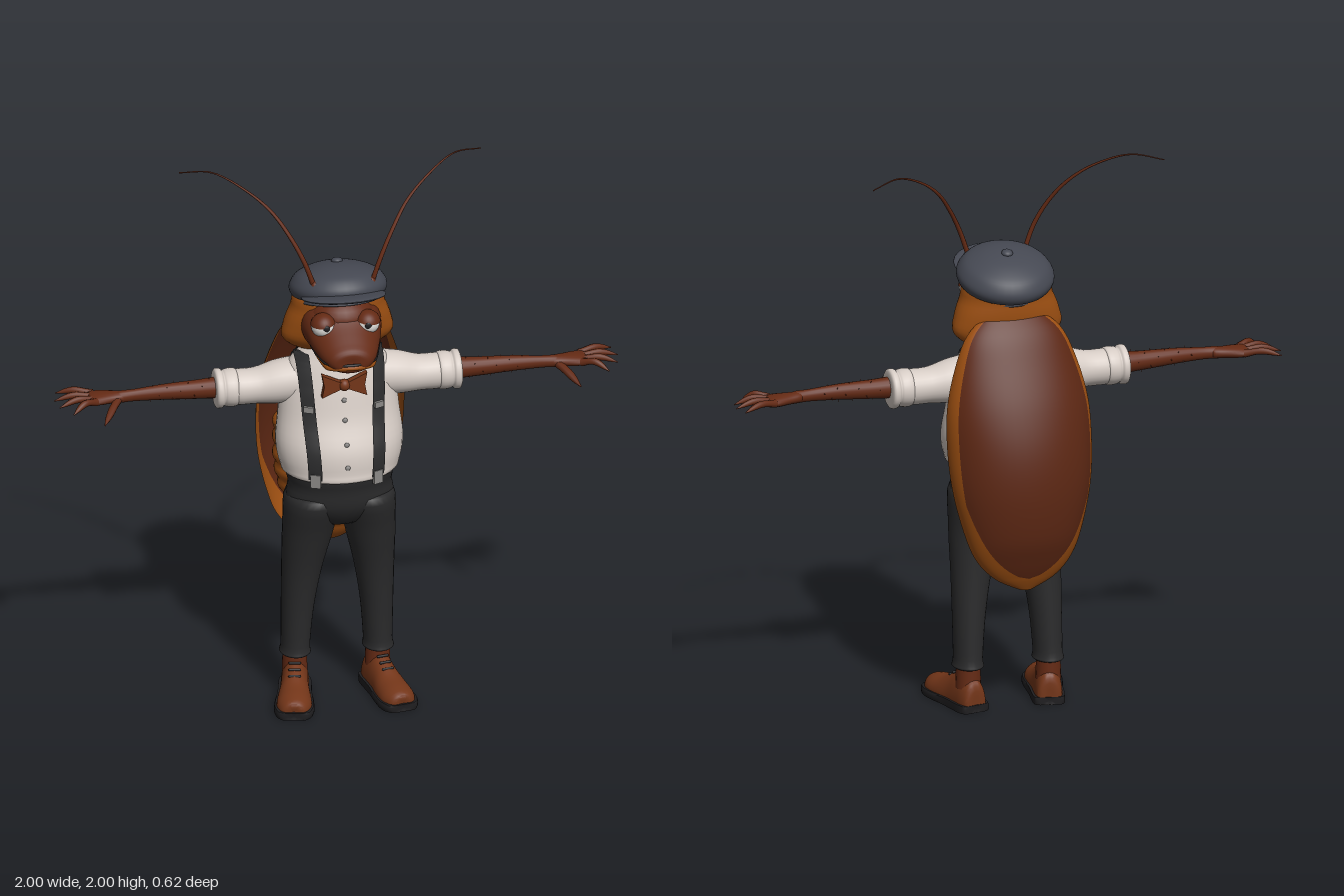
import * as THREE from 'three';
import { mergeVertices, toCreasedNormals } from 'three/addons/utils/BufferGeometryUtils.js';
import { ParametricGeometry } from 'three/addons/geometries/ParametricGeometry.js';

const mat = (name, color, side = THREE.FrontSide) => {
  const m = new THREE.MeshStandardMaterial({ color, side });
  m.name = name;
  return m;
};
const skin = mat('brown skin', 0x642a14);
const wingBrown = mat('wing brown', 0x5c2713, THREE.DoubleSide);
const orange = mat('amber shell', 0x9e5012, THREE.DoubleSide);
const cotton = mat('white cotton', 0xd6ccc5, THREE.DoubleSide);
const cloth = mat('charcoal cloth', 0x2b2b2c, THREE.DoubleSide);
const felt = mat('grey felt', 0x454852);
const leather = mat('shoe leather', 0x743619);
const black = mat('black rubber', 0x1f1e20);
const eyeWhite = mat('eye white', 0xdedcd8);
const metal = mat('buckle metal', 0x8c8a88);

function add(parent, name, geometry, material, pos = [0, 0, 0], scale = [1, 1, 1], rot = [0, 0, 0]) {
  const m = new THREE.Mesh(geometry, material);
  m.name = name;
  m.position.set(...pos);
  m.scale.set(...scale);
  m.rotation.set(...rot);
  parent.add(m);
  return m;
}

// Smooth interpolation through rows of numbers, t from 0 to 1
function sample(rows, t) {
  const n = rows.length - 1, f = Math.min(Math.max(t, 0), 1) * n;
  const i = Math.min(Math.floor(f), n - 1), k = f - i;
  const a = rows[Math.max(i - 1, 0)], b = rows[i], c = rows[i + 1], d = rows[Math.min(i + 2, n)];
  return b.map((q, j) => 0.5 * (2 * q + (c[j] - a[j]) * k + (2 * a[j] - 5 * q + 4 * c[j] - d[j]) * k * k
    + (3 * q - a[j] - 3 * c[j] + d[j]) * k * k * k));
}

function surface(fn, nu, nv) {
  let g = new ParametricGeometry(fn, nu, nv);
  g.deleteAttribute('uv');
  g.deleteAttribute('normal');
  g = mergeVertices(g, 1e-5);
  g.computeVertexNormals();
  return g;
}

// Closed loft; each row is [position along axis, centre a, centre b, radius a, radius b]
function loft(axis, rows, seg = 28, ripple = 0) {
  const f = rows[0], l = rows[rows.length - 1];
  const all = [[f[0], f[1], f[2], 0, 0], ...rows, [l[0], l[1], l[2], 0, 0]];
  return surface((u, v, p) => {
    const [h, ca, cb, ra, rb] = sample(all, v), a = u * Math.PI * 2;
    const k = 1 + ripple * Math.abs(Math.sin(h * 48));
    const A = Math.max(ra, 0) * Math.cos(a) * k, B = Math.max(rb, 0) * Math.sin(a) * k;
    if (axis === 'y') p.set(ca + A, h, cb - B);
    else if (axis === 'x') p.set(h, ca + A, cb + B);
    else p.set(ca + A, cb + B, h);
  }, seg, (all.length - 1) * (ripple ? 10 : 4));
}

// Tapered tube along a smooth path
function limb(points, radii, steps = 16, seg = 8) {
  const curve = new THREE.CatmullRomCurve3(points.map(p => new THREE.Vector3(...p)));
  const g = new THREE.TubeGeometry(curve, steps, 1, seg);
  const pos = g.attributes.position, v = new THREE.Vector3();
  for (let i = 0; i < pos.count; i++) {
    const t = Math.floor(i / (seg + 1)) / steps, c = curve.getPointAt(t);
    v.fromBufferAttribute(pos, i).sub(c).multiplyScalar(sample(radii.map(r => [r]), t)[0]).add(c);
    pos.setXYZ(i, v.x, v.y, v.z);
  }
  return g;
}

const ball = new THREE.SphereGeometry(1, 24, 16);

const shirtRows = [[0.885, 0, 0.06, 0.18, 0.145], [0.92, 0, 0.06, 0.212, 0.155], [1.0, 0, 0.05, 0.225, 0.157],
  [1.1, 0, 0.035, 0.215, 0.13], [1.2, 0, 0.025, 0.205, 0.115], [1.27, 0, 0.02, 0.185, 0.1],
  [1.32, 0, 0.02, 0.145, 0.085], [1.36, 0, 0.025, 0.085, 0.07]];
const headRows = [[-0.07, 0, 1.46, 0.09, 0.08], [0, 0, 1.46, 0.13, 0.115], [0.08, 0, 1.455, 0.142, 0.12],
  [0.15, 0, 1.44, 0.13, 0.1], [0.2, 0, 1.418, 0.115, 0.08], [0.26, 0, 1.4, 0.092, 0.057],
  [0.295, 0, 1.395, 0.06, 0.036]];
const wingRows = [[0.485, 0.02, -0.205, -0.21], [0.53, 0.11, -0.195, -0.235], [0.6, 0.175, -0.18, -0.265],
  [0.7, 0.215, -0.165, -0.297], [0.85, 0.25, -0.145, -0.31], [1.0, 0.262, -0.12, -0.295],
  [1.15, 0.255, -0.1, -0.25], [1.3, 0.215, -0.08, -0.18], [1.4, 0.165, -0.065, -0.125], [1.475, 0.07, -0.05, -0.06]];

// Depth of the shirt surface at x, y; dir is 1 for front and -1 for back
function shirtZ(x, y, dir, lift = 0.008) {
  let v = 0;
  while (v < 1 && sample(shirtRows, v)[0] < y) v += 0.004;
  const r = sample(shirtRows, v);
  return r[2] + dir * (r[4] + lift) * Math.sqrt(Math.max(0, 1 - (x / (r[3] + lift)) ** 2));
}

function buildTorso(g) {
  add(g, 'shirt', loft('y', shirtRows, 40), cotton);
  add(g, 'trouserSeat', loft('y', [[0.69, 0, 0.045, 0.1, 0.08], [0.76, 0, 0.055, 0.185, 0.125],
    [0.84, 0, 0.06, 0.183, 0.135], [0.91, 0, 0.065, 0.178, 0.135]], 36), cloth);
  add(g, 'abdomen', loft('y', [[0.52, 0, -0.15, 0.05, 0.03], [0.58, 0, -0.14, 0.11, 0.065], [0.7, 0, -0.11, 0.16, 0.098],
    [0.8, 0, -0.09, 0.19, 0.125], [0.92, 0, -0.08, 0.2, 0.125], [1.05, 0, -0.08, 0.18, 0.09]], 32, 0.06), orange);
  add(g, 'neck', loft('y', [[1.3, 0, 0.03, 0.07, 0.06], [1.44, 0, 0.04, 0.075, 0.065]]), skin);
  add(g, 'collar', surface((u, v, p) => {
    const a = 0.25 + u * (Math.PI * 2 - 0.5), r = 0.105 - 0.022 * v;
    p.set(Math.sin(a) * r, 1.315 + 0.065 * v, 0.03 + Math.cos(a) * r * 0.9);
  }, 32, 3), cotton);
  for (const y of [0.95, 1.03, 1.11, 1.18])
    add(g, 'shirtButton', ball, metal, [0, y, shirtZ(0, y, 1, 0.002)], [0.009, 0.009, 0.005]);

  // Bow tie
  const bow = new THREE.Shape([[-0.08, 0.045], [-0.015, 0.014], [0.015, 0.014], [0.08, 0.045], [0.072, 0],
    [0.08, -0.042], [0.015, -0.014], [-0.015, -0.014], [-0.08, -0.042], [-0.072, 0]].map(p => new THREE.Vector2(...p)));
  add(g, 'bowTie', new THREE.ExtrudeGeometry(bow, { depth: 0.025, bevelEnabled: false }), leather, [0, 1.24, 0.132]);
  add(g, 'bowKnot', ball, leather, [0, 1.24, 0.148], [0.02, 0.022, 0.02]);
}

function buildWings(g) {
  const edge = v => 1.15 * Math.sqrt(Math.min(Math.max((v - 0.12) / 0.3, 0), 1));
  const shell = (from, to) => surface((u, v, p) => {
    const [y, w, zf, zb] = sample(wingRows, v), a = from(v) + (to(v) - from(v)) * u;
    p.set(-w * Math.sin(a), y, zf + (zb - zf) * Math.cos(a));
  }, 20, 50);
  add(g, 'wingCentre', shell(v => -edge(v), edge), wingBrown);
  add(g, 'wingBorderRight', shell(edge, () => Math.PI / 2), orange);
  add(g, 'wingBorderLeft', shell(() => -Math.PI / 2, v => -edge(v)), orange);
}

function buildHead(g) {
  add(g, 'head', loft('z', headRows, 32), skin);
  add(g, 'forehead', ball, skin, [0, 1.49, 0.1], [0.115, 0.08, 0.095]);
  add(g, 'neckShield', loft('y', [[1.335, 0, 0, 0.13, 0.06], [1.38, 0, 0.01, 0.195, 0.09], [1.44, 0, 0.015, 0.19, 0.108],
    [1.5, 0, 0.02, 0.168, 0.115], [1.56, 0, 0.02, 0.14, 0.11]], 36), orange);
  // Mouth lines following the muzzle
  const along = phi => {
    const pts = [];
    for (let i = -6; i <= 6; i++) {
      const r = sample(headRows, 1 - Math.abs(i) * 0.075), s = Math.cos(phi) * Math.min(Math.abs(i) / 1.5, 1);
      pts.push([Math.sign(i) * r[3] * s, r[2] + r[4] * Math.sin(phi), r[0] + (Math.abs(i) < 2 ? 0.004 : 0)]);
    }
    return pts;
  };
  add(g, 'lowerLip', limb(along(-0.55), [0.004, 0.011, 0.009, 0.011, 0.004], 40), orange);
  add(g, 'mouthLine', limb(along(-0.25), [0.003, 0.005, 0.005, 0.003], 40), black);

  // Flat cap, tilted back
  const cap = new THREE.Group();
  cap.name = 'cap';
  cap.position.set(0, 1.565, 0.03);
  cap.rotation.x = -0.25;
  g.add(cap);
  const profile = [[0, -0.04], [0.13, -0.045], [0.14, -0.03], [0.162, -0.02], [0.172, 0.005], [0.165, 0.03],
    [0.14, 0.058], [0.09, 0.08], [0.04, 0.09], [0, 0.092]];
  const outline = new THREE.SplineCurve(profile.map(p => new THREE.Vector2(...p))).getPoints(36);
  outline.forEach(p => { p.x = Math.max(p.x, 0); });
  add(cap, 'capCrown', new THREE.LatheGeometry(outline, 40), felt);
  add(cap, 'capBrim', ball, felt, [0, -0.012, 0.105], [0.15, 0.016, 0.13]);
  add(cap, 'capButton', ball, felt, [0, 0.093, 0], [0.02, 0.012, 0.02]);
}

// Everything that exists once per side, modelled on the +x side
function buildSide(g) {
  // Eye
  add(g, 'eye', ball, eyeWhite, [0.078, 1.485, 0.168], [0.043, 0.04, 0.045]);
  add(g, 'pupil', ball, black, [0.074, 1.492, 0.21], [0.012, 0.012, 0.005]);
  add(g, 'eyelid', new THREE.SphereGeometry(0.047, 24, 10, 0, Math.PI * 2, 0, 1.25), skin,
    [0.078, 1.485, 0.168], [1, 1, 1], [0.1, 0, -0.12]);

  // Antenna
  add(g, 'antenna', limb([[0.1, 1.61, 0.125], [0.135, 1.71, 0.12], [0.18, 1.8, 0.095], [0.24, 1.885, 0.05],
    [0.32, 1.95, 0], [0.43, 1.997, -0.07], [0.535, 1.982, -0.12]], [0.009, 0.007, 0.004, 0.002], 40), skin);
  add(g, 'antennaBase', ball, skin, [0.1, 1.62, 0.127], [0.016, 0.02, 0.016]);

  // Suspender strap, front and back, meeting at the shoulder
  for (const dir of [1, -1])
    add(g, dir > 0 ? 'frontStrap' : 'backStrap', surface((u, v, p) => {
      const e = 1 - (1 - v) ** 2, y = 0.895 + 0.437 * e, x = 0.11 + 0.025 * e + (u - 0.5) * 0.046 * dir;
      p.set(x, y, shirtZ(x, y, dir));
    }, 4, 40), cloth);
  for (const [x, y, h] of [[0.124, 1.15, 0.022], [0.11, 0.9, 0.05]])
    add(g, 'strapBuckle', new THREE.BoxGeometry(0.036, h, 0.012), metal, [x, y, shirtZ(x, y, 1, 0.01)], [1, 1, 1], [0, 0.4, 0]);

  // Sleeve, cuff and arm
  add(g, 'sleeve', loft('x', [[0.08, 1.22, 0.015, 0.075, 0.075], [0.2, 1.21, 0.01, 0.078, 0.08],
    [0.29, 1.2, 0.01, 0.064, 0.066], [0.38, 1.2, 0.01, 0.058, 0.06]]), cotton);
  add(g, 'cuff', loft('x', [[0.355, 1.2, 0.01, 0.058, 0.058], [0.37, 1.2, 0.01, 0.068, 0.069], [0.395, 1.2, 0.01, 0.066, 0.068],
    [0.405, 1.2, 0.01, 0.062, 0.064], [0.415, 1.2, 0.01, 0.07, 0.071], [0.435, 1.2, 0.01, 0.063, 0.064]]), cotton);
  add(g, 'arm', loft('x', [[0.4, 1.205, 0.012, 0.036, 0.034], [0.5, 1.205, 0.015, 0.034, 0.03], [0.62, 1.207, 0.018, 0.028, 0.024],
    [0.72, 1.205, 0.02, 0.022, 0.018], [0.78, 1.203, 0.02, 0.02, 0.02]], 18), skin);
  for (let i = 0; i < 24; i++) {
    const a = i * 2.4, x = 0.455 + i * 0.0095, r = 0.036 - (x - 0.45) * 0.05;
    add(g, 'armBristle', new THREE.ConeGeometry(0.003, 0.018, 5), skin,
      [x, 1.206 + Math.cos(a) * r, 0.016 + Math.sin(a) * r * 0.9], [1, 1, 1], [a, 0, 0]);
  }

  // Hand
  add(g, 'palm', loft('x', [[0.755, 1.203, 0.018, 0.018, 0.02], [0.8, 1.203, 0.015, 0.02, 0.032],
    [0.85, 1.202, 0.012, 0.02, 0.046], [0.88, 1.202, 0.012, 0.014, 0.044]], 18), skin);
  for (const [z0, x1, y1, z1] of [[-0.024, 0.985, 1.195, -0.066], [0.002, 1, 1.193, -0.008],
    [0.026, 0.99, 1.19, 0.045], [0.048, 0.95, 1.183, 0.097]])
    add(g, 'finger', limb([[0.86, 1.203, z0], [(0.86 + x1) / 2, 1.212, (z0 + z1) / 2], [x1, y1, z1]],
      [0.015, 0.012, 0.0125, 0.009, 0.002]), skin);
  add(g, 'thumb', limb([[0.78, 1.198, 0.03], [0.81, 1.178, 0.075], [0.845, 1.145, 0.125]], [0.016, 0.014, 0.014, 0.01, 0.002]), skin);

  // Leg and ankle
  add(g, 'trouserLeg', loft('y', [[0.155, 0.147, 0, 0.052, 0.065], [0.19, 0.146, 0.001, 0.051, 0.064],
    [0.34, 0.14, 0.01, 0.058, 0.068], [0.5, 0.127, 0.025, 0.072, 0.078], [0.66, 0.108, 0.045, 0.091, 0.1],
    [0.8, 0.092, 0.055, 0.095, 0.125]]), cloth);
  add(g, 'ankle', new THREE.CylinderGeometry(0.042, 0.045, 0.1, 20), skin, [0.147, 0.13, -0.005]);

  // Shoe, toes turned out
  const shoe = new THREE.Group();
  shoe.name = 'shoe';
  shoe.position.set(0.147, 0, 0);
  shoe.rotation.y = 0.2;
  g.add(shoe);
  const last = [[-0.06, 0, 0.025, 0.036, 0.07], [-0.03, 0, 0.025, 0.048, 0.1], [0.02, 0, 0.025, 0.05, 0.108],
    [0.07, 0, 0.025, 0.052, 0.088], [0.13, 0, 0.025, 0.06, 0.062], [0.19, 0, 0.025, 0.06, 0.05], [0.232, 0, 0.025, 0.038, 0.035]];
  const clampY = (geo, lo, hi) => {
    const p = geo.attributes.position;
    for (let i = 0; i < p.count; i++) p.setY(i, Math.min(Math.max(p.getY(i), lo), hi));
    return toCreasedNormals(geo, 0.7);
  };
  add(shoe, 'shoeUpper', clampY(loft('z', last), 0.012, 1), leather);
  add(shoe, 'shoeSole', clampY(loft('z', last.map(([z, x, y, rx, ry]) => [z * 1.03, x, 0.014, rx + 0.009, ry]), 40), 0, 0.028), black);
  for (let i = 0; i < 3; i++)
    add(shoe, 'shoeLace', new THREE.CapsuleGeometry(0.005, 0.035, 4, 8), black,
      [0, 0.127 - i * 0.014, 0.045 + i * 0.024], [1, 1, 1], [0, 0, Math.PI / 2]);
}

export function createModel() {
  const model = new THREE.Group();
  model.name = 'dapperBeetle';
  buildTorso(model);
  buildWings(model);
  buildHead(model);
  for (const s of [1, -1]) {
    const side = new THREE.Group();
    side.name = s > 0 ? 'leftSide' : 'rightSide';
    side.scale.x = s;
    buildSide(side);
    model.add(side);
  }
  return model;
}
